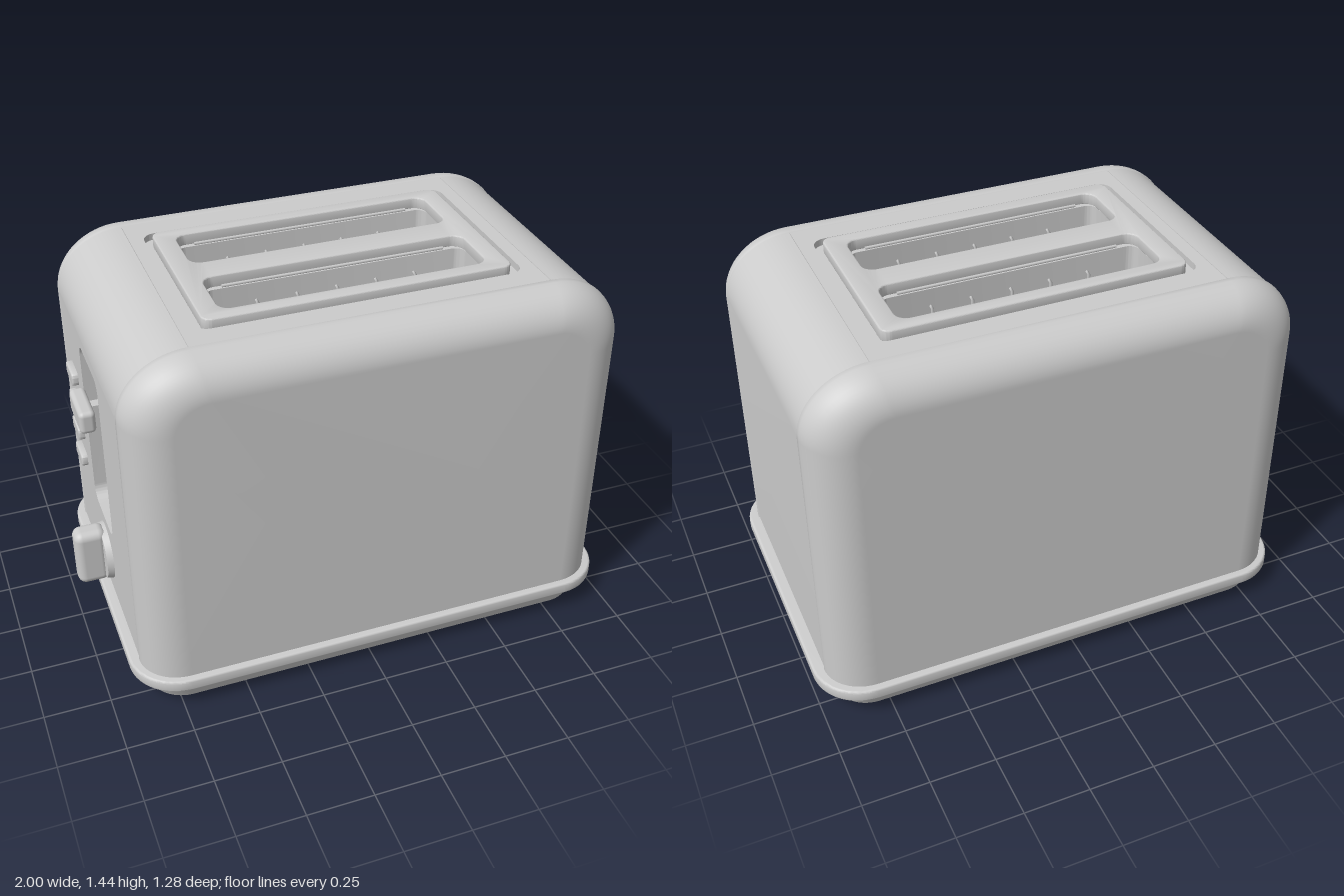
import * as THREE from 'three';
import { toCreasedNormals } from 'three/addons/utils/BufferGeometryUtils.js';
import { RoundedBoxGeometry } from 'three/addons/geometries/RoundedBoxGeometry.js';

const CX = 0.043, HALF = 0.918;          // body centre and half length
const FOOT = 0.13, SHOULDER = 1.2, TOP = 1.43;
const RX = 0.26, RY = TOP - SHOULDER;    // elliptical top corners
const SEAM = 0.467;                      // where side shells meet the centre band
const mat = new THREE.MeshStandardMaterial({ color: 0xcccccc, side: THREE.DoubleSide });

function mesh(name, geo, parent) {
  const m = new THREE.Mesh(geo, mat);
  m.name = name;
  parent.add(m);
  return m;
}

// Rounded rectangle from corner to corner, as a Shape or a hole Path
function roundRect(x0, y0, x1, y1, r, Kind = THREE.Shape) {
  const s = new Kind();
  s.moveTo(x0 + r, y0);
  s.lineTo(x1 - r, y0);
  s.absarc(x1 - r, y0 + r, r, -Math.PI / 2, 0);
  s.lineTo(x1, y1 - r);
  s.absarc(x1 - r, y1 - r, r, 0, Math.PI / 2);
  s.lineTo(x0 + r, y1);
  s.absarc(x0 + r, y1 - r, r, Math.PI / 2, Math.PI);
  s.lineTo(x0, y0 + r);
  s.absarc(x0 + r, y0 + r, r, Math.PI, Math.PI * 1.5);
  return s;
}

// Extruded slab from z = 0 to z = depth with a small edge bevel
function slab(shape, depth, bevel = 0, holes = []) {
  shape.holes.push(...holes);
  const geo = new THREE.ExtrudeGeometry(shape, {
    depth: depth - 2 * bevel, curveSegments: 10, bevelEnabled: bevel > 0,
    bevelThickness: bevel, bevelSize: bevel, bevelOffset: -bevel, bevelSegments: 3,
  });
  geo.translate(0, 0, bevel);
  return toCreasedNormals(geo, 0.6);
}
const lying = (geo, y) => geo.rotateX(-Math.PI / 2).translate(0, y, 0);   // grows towards +y
const facingControls = (geo, x) => geo.rotateY(-Math.PI / 2).translate(x, 0, 0); // grows towards -x

// Arch outline of the body, inset by ix and iy
function archOutline(ix, iy) {
  const w = HALF - ix, rx = RX - ix * 0.8, ry = RY - iy * 0.8, pts = [];
  pts.push([CX + w, FOOT]);
  for (let i = 0; i <= 16; i++) {
    const a = (i / 16) * Math.PI / 2;
    pts.push([CX + w - rx + rx * Math.cos(a), TOP - iy - ry + ry * Math.sin(a)]);
  }
  const mirrored = pts.map(([x, y]) => [2 * CX - x, y]).reverse();
  return pts.concat(mirrored);
}

// Rounded side shell: arches shrinking outwards along z, closed by a flat face
function shellGeometry() {
  const rows = [[0.009, 0.009, SEAM - 0.004], [0, 0, SEAM + 0.003]];
  for (let i = 1; i <= 12; i++) {
    const t = (i / 12) * Math.PI / 2, k = 1 - Math.cos(t);
    rows.push([0.16 * k, 0.135 * k, SEAM + 0.003 + 0.145 * Math.sin(t)]);
  }
  const pos = [], index = [];
  let n = 0;
  for (const [ix, iy, z] of rows) {
    const ring = archOutline(ix, iy);
    n = ring.length;
    ring.forEach(([x, y]) => pos.push(x, y, z));
  }
  const last = (rows.length - 1) * n, centre = rows.length * n;
  pos.push(CX, FOOT, rows[rows.length - 1][2]);
  for (let j = 0; j < n - 1; j++) {
    for (let r = 0; r < rows.length - 1; r++) {
      const a = r * n + j, b = a + n;
      index.push(a, a + 1, b, b, a + 1, b + 1);
    }
    index.push(last + j, last + j + 1, centre);
  }
  const geo = new THREE.BufferGeometry();
  geo.setAttribute('position', new THREE.Float32BufferAttribute(pos, 3));
  geo.setIndex(index);
  geo.computeVertexNormals();
  return geo;
}

// Curved end of the centre band; side is +1 or -1, reaching down to yBottom
function bandEnd(side, yBottom) {
  const inset = 0.004, t = 0.06, pts = [];
  const arc = (rx, ry, i) => {
    const a = (i / 16) * Math.PI / 2;
    return new THREE.Vector2(CX + side * (HALF - RX + rx * Math.cos(a)), SHOULDER + ry * Math.sin(a));
  };
  for (let i = 16; i >= 0; i--) pts.push(arc(RX - inset, RY - inset, i));
  if (yBottom < SHOULDER) {
    pts.push(new THREE.Vector2(CX + side * (HALF - inset), yBottom));
    pts.push(new THREE.Vector2(CX + side * (HALF - t), yBottom));
  }
  for (let i = 0; i <= 16; i++) pts.push(arc(RX - t, RY - t, i));
  return slab(new THREE.Shape(pts), 2 * SEAM).translate(0, 0, -SEAM);
}

export function createModel() {
  const model = new THREE.Group();
  model.name = 'toaster';

  // Base: tapered tray and projecting skirt
  const tray = lying(slab(roundRect(-HALF, -0.617, HALF, 0.617, 0.14), 0.1), 0);
  const p = tray.attributes.position;
  for (let i = 0; i < p.count; i++) {
    if (p.getY(i) < 0.05) p.setXYZ(i, p.getX(i) * 0.958, 0, p.getZ(i) * 0.932);
  }
  mesh('baseTray', toCreasedNormals(tray.translate(CX, 0, 0), 0.6), model);
  mesh('baseSkirt', lying(slab(roundRect(-0.91, -0.642, 1.0, 0.642, 0.19), 0.048, 0.008), 0.088), model);

  // Side shells
  const shell = shellGeometry();
  mesh('frontShell', shell, model);
  mesh('backShell', shell, model).rotation.y = Math.PI;
  model.getObjectByName('backShell').position.x = 2 * CX;

  // Centre band: plain end, control end, top panel
  mesh('plainEnd', bandEnd(1, FOOT), model);
  mesh('controlEndCorner', bandEnd(-1, SHOULDER), model);
  const controlX = CX - HALF + 0.004;
  const recess = roundRect(-0.15, 0.46, 0.15, 1.15, 0.05, THREE.Path);
  mesh('controlPanel', facingControls(
    slab(roundRect(-SEAM, FOOT, SEAM, SHOULDER, 0.001), 0.05, 0, [recess]), controlX + 0.05), model);
  const track = roundRect(-0.045, 0.52, 0.045, 1.1, 0.044, THREE.Path);
  mesh('recessFloor', facingControls(
    slab(roundRect(-0.17, 0.44, 0.17, 1.17, 0.05), 0.04, 0, [track]), controlX + 0.088), model);
  const rimHole = roundRect(-0.03, 0.535, 0.03, 1.085, 0.029, THREE.Path);
  mesh('trackRim', facingControls(
    slab(roundRect(-0.05, 0.515, 0.05, 1.105, 0.049), 0.03, 0.004, [rimHole]), controlX + 0.07), model);
  mesh('trackBack', new THREE.BoxGeometry(0.01, 0.7, 0.3).translate(controlX + 0.093, 0.81, 0), model);

  const groove = roundRect(-0.56, -0.375, 0.645, 0.375, 0.05, THREE.Path);
  mesh('topPanel', lying(
    slab(roundRect(CX - HALF + RX + 0.002, -SEAM, CX + HALF - RX - 0.002, SEAM, 0.001), 0.05, 0, [groove]),
    TOP - 0.054), model);

  // Bread slots: raised surround, deep liner and floor
  const slotZ = [-0.175, 0.175];
  const slotHoles = (half, r) => slotZ.map((z) => roundRect(-0.455, z - half, 0.54, z + half, r, THREE.Path));
  mesh('slotSurround', lying(
    slab(roundRect(-0.53, -0.347, 0.615, 0.347, 0.035), 0.047, 0.005, slotHoles(0.117, 0.045)), 1.396), model);
  mesh('slotLiner', lying(
    slab(roundRect(-0.58, -0.39, 0.665, 0.39, 0.05), 0.9, 0, slotHoles(0.097, 0.04)), 0.5), model);
  mesh('slotFloor', new THREE.BoxGeometry(1.24, 0.02, 0.78).translate(CX, 0.49, 0), model);

  // Bread cages: rails along each slot and U-shaped wires across it
  const cages = new THREE.Group();
  cages.name = 'breadCages';
  model.add(cages);
  const rail = new THREE.CylinderGeometry(0.006, 0.006, 0.85, 8).rotateZ(Math.PI / 2);
  for (const z of slotZ) {
    for (const s of [-1, 1]) mesh('cageRail', rail, cages).position.set(CX, 1.404, z + s * 0.108);
    for (let i = 0; i < 5; i++) {
      const path = new THREE.CurvePath();
      const pts = [[0.097, 1.33], [0.08, 1.33], [0.08, 0.54]];
      const all = [...pts, ...pts.map(([w, y]) => [-w, y]).reverse()]
        .map(([w, y]) => new THREE.Vector3(-0.26 + i * 0.1525, y, z + w));
      for (let k = 0; k < all.length - 1; k++) path.add(new THREE.LineCurve3(all[k], all[k + 1]));
      mesh('cageWire', new THREE.TubeGeometry(path, 100, 0.006, 6), cages);
    }
  }

  // Lever on its stem
  mesh('lever', new RoundedBoxGeometry(0.06, 0.09, 0.19, 4, 0.018).translate(-0.905, 0.955, -0.003), model);
  mesh('leverStem', new THREE.BoxGeometry(0.1, 0.05, 0.04).translate(-0.84, 0.955, 0), model);

  // Push buttons
  for (let i = 0; i < 4; i++) {
    mesh('button', facingControls(
      slab(roundRect(-0.37, 0.527 + i * 0.125, -0.25, 0.582 + i * 0.125, 0.018), 0.04, 0.006), -0.855), model);
  }

  // Browning dial: disc and grip
  mesh('dialDisc', new THREE.CylinderGeometry(0.108, 0.115, 0.03, 40).rotateZ(Math.PI / 2)
    .translate(-0.881, 0.3, 0), model);
  mesh('dialGrip', new RoundedBoxGeometry(0.125, 0.24, 0.09, 5, 0.032).translate(-0.9375, 0.3, 0), model);

  return model;
}
